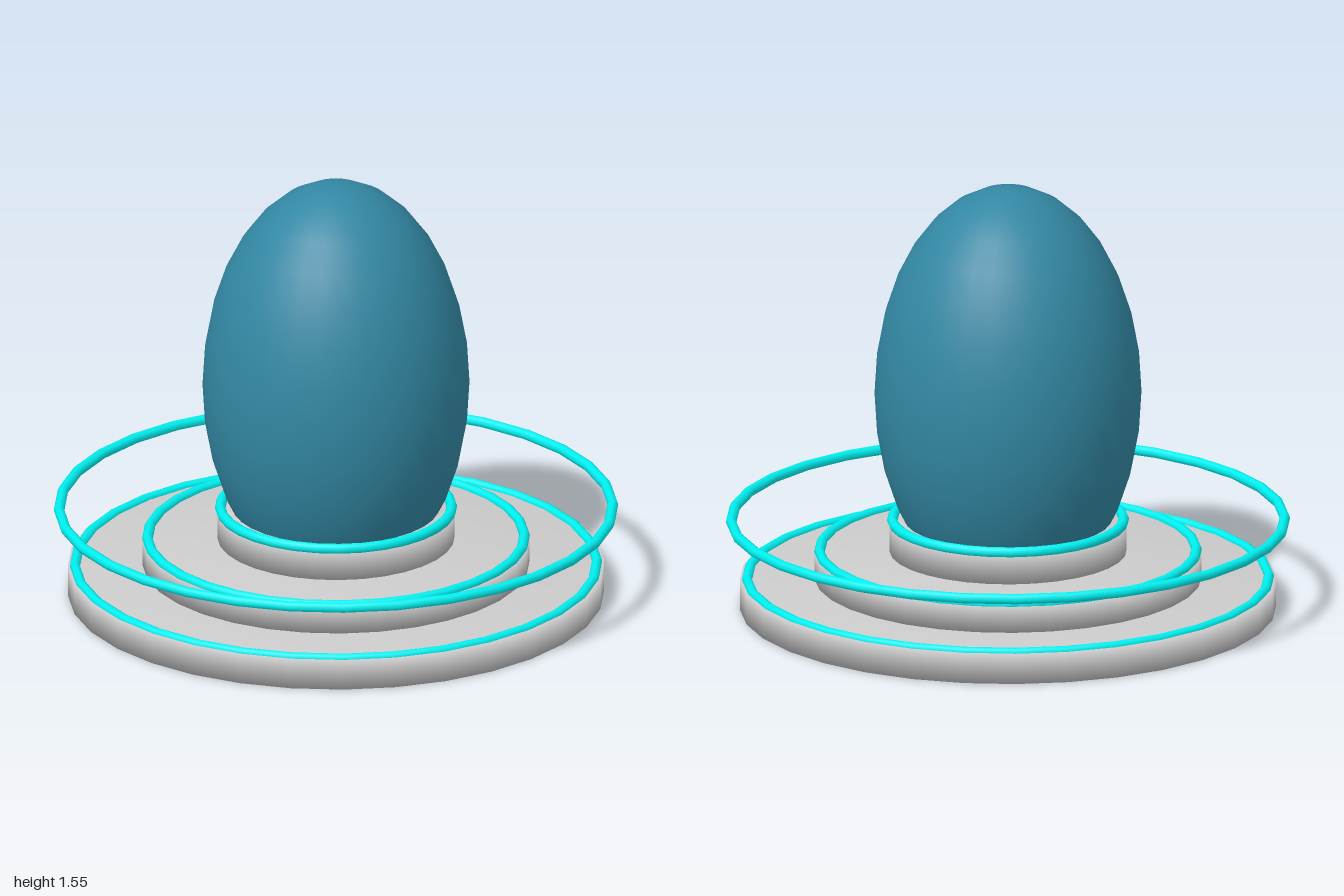
import * as THREE from 'three';

const grey = new THREE.MeshStandardMaterial({ color: 0xcccccc });
const cyan = new THREE.MeshStandardMaterial({ color: 0x00f0f0 });
const blue = new THREE.MeshStandardMaterial({ color: 0x3287a3 });
const SEGMENTS = 32;

export function createModel() {
  const model = new THREE.Group();

  function add(name, geometry, material, y = 0) {
    const mesh = new THREE.Mesh(geometry, material);
    mesh.name = name;
    mesh.position.y = y;
    model.add(mesh);
    return mesh;
  }

  // Solid disc with softly shaded rims
  function disc(name, radius, bottom, top) {
    const profile = [[0, bottom], [radius, bottom], [radius, top], [0, top]]
      .map(([x, y]) => new THREE.Vector2(x, y));
    add(name, new THREE.LatheGeometry(profile, SEGMENTS), grey);
  }

  // Thin horizontal glowing ring
  function ring(name, radius, y) {
    const geometry = new THREE.TorusGeometry(radius, 0.019, 8, SEGMENTS);
    geometry.rotateX(Math.PI / 2);
    add(name, geometry, cyan, y);
  }

  // Three stacked steps of the pedestal
  disc('lowerStep', 0.95, 0, 0.11);
  disc('middleStep', 0.685, 0.11, 0.21);
  disc('upperStep', 0.42, 0.21, 0.325);

  // A ring on each step, and a wide ring hovering around the pedestal
  ring('lowerRing', 0.925, 0.108);
  ring('middleRing', 0.668, 0.211);
  ring('upperRing', 0.41, 0.325);
  ring('floatingRing', 0.981, 0.323);

  // Tall egg resting in the upper step
  const egg = new THREE.SphereGeometry(1, SEGMENTS, 16);
  egg.scale(0.473, 0.755, 0.473);
  add('egg', egg, blue, 0.797);

  return model;
}
